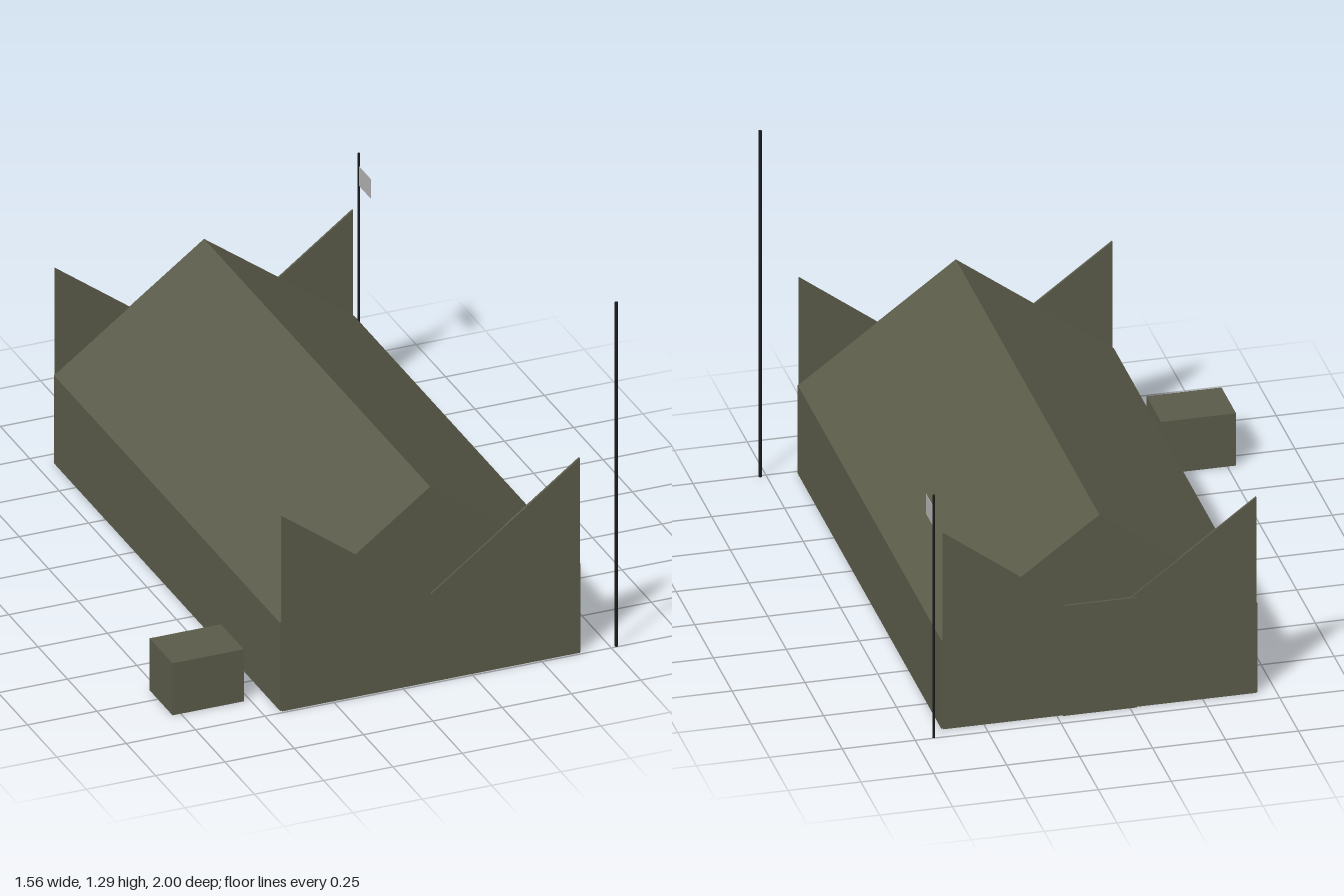
import * as THREE from 'three';

const wallPaint = new THREE.MeshStandardMaterial({ name: 'oliveGrey', color: 0x5b5b4a });
const polePaint = new THREE.MeshStandardMaterial({ name: 'black', color: 0x1a1a1a });
const flagPaint = new THREE.MeshStandardMaterial({ name: 'lightGrey', color: 0xb0b0b0 });

// Box given by its minimum and maximum corners
function box(name, min, max, material) {
  const size = max.map((v, i) => v - min[i]);
  const mesh = new THREE.Mesh(new THREE.BoxGeometry(...size), material);
  mesh.position.set(...min.map((v, i) => v + size[i] / 2));
  mesh.name = name;
  return mesh;
}

// Outline in x and y, extruded from z0 to z1
function slab(name, points, z0, z1, material) {
  const shape = new THREE.Shape(points.map(([x, y]) => new THREE.Vector2(x, y)));
  const geometry = new THREE.ExtrudeGeometry(shape, { depth: z1 - z0, bevelEnabled: false });
  const mesh = new THREE.Mesh(geometry, material);
  mesh.position.z = z0;
  mesh.name = name;
  return mesh;
}

function pole(name, x, z, radius, height) {
  const mesh = new THREE.Mesh(new THREE.CylinderGeometry(radius, radius, height, 12), polePaint);
  mesh.position.set(x, height / 2, z);
  mesh.name = name;
  return mesh;
}

export function createModel() {
  const model = new THREE.Group();
  model.name = 'hall';

  const mid = 0.103, eave = 0.33, ridge = 0.73;
  const halfBody = 0.542, halfWall = 0.537;
  const front = 0.985, back = -0.94;

  // Long hall and its pitched roof
  model.add(box('hallBody', [mid - halfBody, 0, back], [mid + halfBody, eave, front], wallPaint));
  model.add(slab('roof', [
    [mid - halfBody, eave], [mid + halfBody, eave], [mid, ridge],
  ], back, front, wallPaint));

  // End walls with a deep V cut from both top corners
  const endWall = [
    [mid - halfWall, 0], [mid + halfWall, 0], [mid + halfWall, ridge],
    [mid, eave], [mid - halfWall, ridge],
  ];
  model.add(slab('frontWall', endWall, front - 0.003, front + 0.006, wallPaint));
  model.add(slab('backWall', endWall, back - 0.005, back + 0.003, wallPaint));

  // Back door panel
  model.add(box('backDoor', [mid - 0.127, 0, -0.95], [mid + 0.127, 0.41, -0.942], wallPaint));

  // Detached shed
  model.add(box('shed', [-0.78, 0, 0.68], [-0.523, 0.195, 0.875], wallPaint));

  // Mast and flagpole with flag
  model.add(pole('mast', 0.771, 0.994, 0.006, 1.29));
  model.add(pole('flagpole', 0.685, -0.996, 0.004, 0.905));
  model.add(box('flag', [0.684, 0.785, -0.995], [0.686, 0.857, -0.892], flagPaint));

  return model;
}
